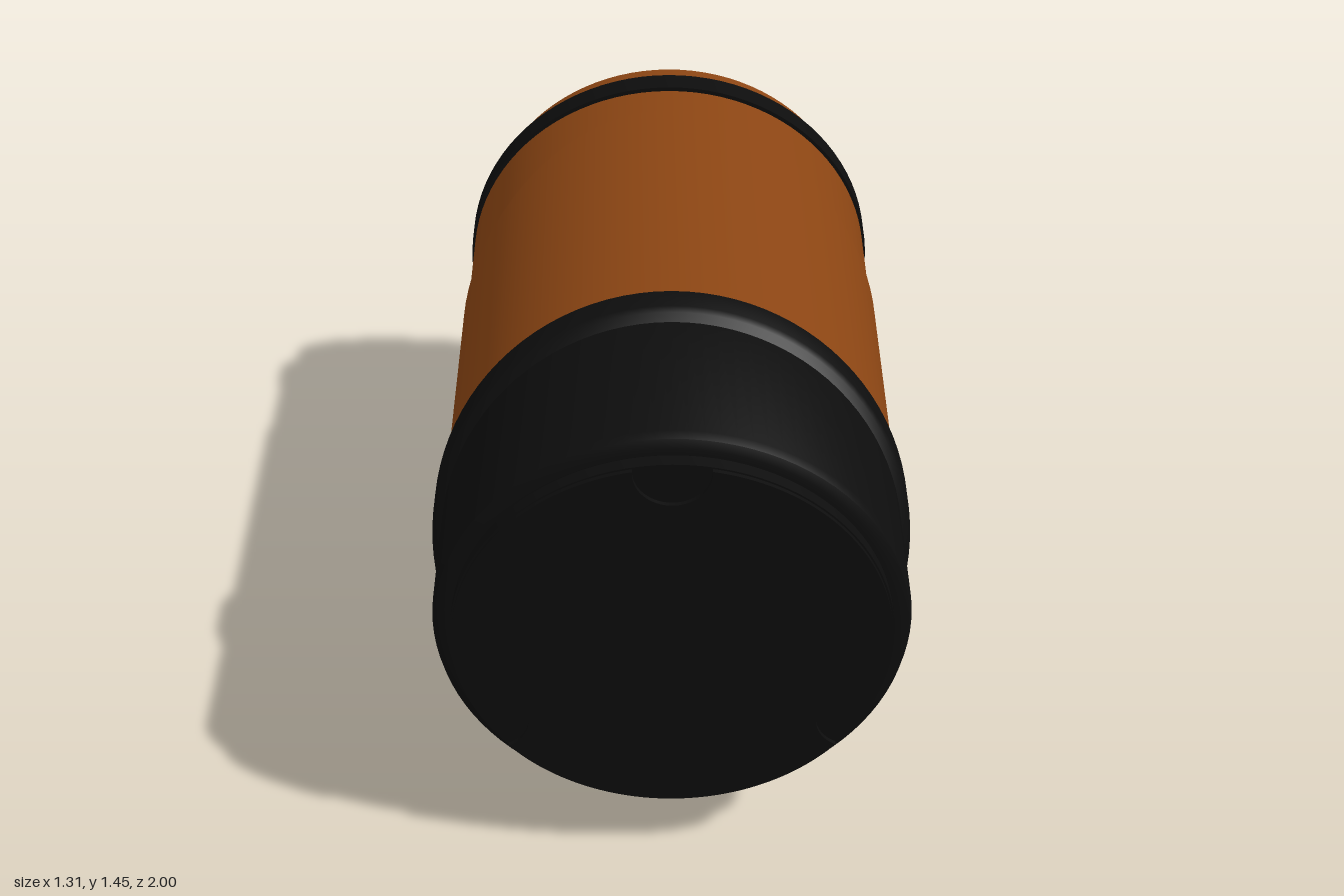
import * as THREE from 'three';
import { toCreasedNormals } from 'three/addons/utils/BufferGeometryUtils.js';

const AXIS_Y = 0.8; // height of the main pipe's axis
const brown = new THREE.MeshStandardMaterial({ color: 0x8b4513 });
const black = new THREE.MeshStandardMaterial({ color: 0x0d0d0d });
const grey = new THREE.MeshStandardMaterial({ color: 0xcccccc });

// Revolve [radius, height] pairs, optionally move the vertices by a rule, keep edges sharp
function turned(name, profile, material, { segments = 96, alongZ = false, warp } = {}) {
  let geo = new THREE.LatheGeometry(profile.map(([r, h]) => new THREE.Vector2(r, h)), segments);
  if (alongZ) geo.rotateX(Math.PI / 2);
  if (warp) {
    const p = geo.attributes.position;
    for (let i = 0; i < p.count; i++) p.setZ(i, warp(p.getX(i), p.getY(i), p.getZ(i)));
  }
  geo = toCreasedNormals(geo, 0.5);
  const mesh = new THREE.Mesh(geo, material);
  mesh.name = name;
  if (alongZ) mesh.position.y = AXIS_Y;
  return mesh;
}

// Cap screw with a hexagonal socket, head pointing to +y
function makeScrew(name, shankLength) {
  const g = new THREE.Group();
  g.name = name;
  g.add(turned('screwShank', [[0, -shankLength], [0.025, -shankLength], [0.025, 0]], grey, { segments: 24 }));
  const outline = new THREE.Shape().absarc(0, 0, 0.043, 0, Math.PI * 2);
  const hex = new THREE.Path();
  for (let i = 0; i < 6; i++) {
    const a = (i + 0.5) * Math.PI / 3;
    hex[i ? 'lineTo' : 'moveTo'](0.023 * Math.cos(a), 0.023 * Math.sin(a));
  }
  hex.closePath();
  outline.holes.push(hex);
  const headGeo = new THREE.ExtrudeGeometry(outline, {
    depth: 0.042, curveSegments: 24, bevelSize: 0.003, bevelThickness: 0.003, bevelSegments: 1,
  });
  headGeo.rotateX(-Math.PI / 2);
  const head = new THREE.Mesh(headGeo, grey);
  head.name = 'screwHead';
  const floor = new THREE.Mesh(new THREE.CylinderGeometry(0.03, 0.03, 0.015, 24), grey);
  floor.name = 'socketFloor';
  floor.position.y = 0.012;
  g.add(head, floor);
  return g;
}

// Round face plate with three circular finger notches
function makeFacePlate() {
  const R = 0.575, D = 0.56, r = 0.1;
  const half = Math.acos((R * R + D * D - r * r) / (2 * R * D));
  const shape = new THREE.Shape();
  for (let k = 0; k < 3; k++) {
    const t = Math.PI / 2 + k * Math.PI * 2 / 3;
    const cx = D * Math.cos(t), cy = D * Math.sin(t);
    const angle = (a) => Math.atan2(R * Math.sin(a) - cy, R * Math.cos(a) - cx);
    shape.absarc(cx, cy, r, angle(t - half), angle(t + half), true);
    shape.absarc(0, 0, R, t + half, t + Math.PI * 2 / 3 - half, false);
  }
  const mesh = new THREE.Mesh(new THREE.ExtrudeGeometry(shape, {
    depth: 0.015, bevelEnabled: false, curveSegments: 32,
  }), black);
  mesh.name = 'capFacePlate';
  mesh.position.set(0, AXIS_Y, 0.985);
  return mesh;
}

export function createModel() {
  const model = new THREE.Group();
  model.name = 'pipeTee';
  const slant = (y) => -0.27 * y; // slanted joint between the sleeve and the cap

  // Main sleeve: slanted front edge, saddle-shaped back edge
  model.add(turned('mainSleeve', [[0.6, -0.39], [0.63, -0.39], [0.63, 0.53]], brown, {
    alongZ: true,
    warp: (x, y, z) => (z > 0 ? z + slant(y) : z - 0.285 * (y / 0.63) ** 2),
  }));

  // Rear pipe, its seal ring and the closed spigot end
  model.add(turned('rearPipe', [[0.58, -0.81], [0.62, -0.81], [0.62, -0.2]], brown, { alongZ: true }));
  model.add(turned('sealRing', [[0.57, -0.895], [0.628, -0.895], [0.628, -0.818], [0.57, -0.818]], black, { alongZ: true }));
  model.add(turned('rearSpigot', [[0, -1], [0.59, -1], [0.59, -0.75]], brown, { alongZ: true }));

  // Front cap with a slanted lip and stepped nose
  model.add(turned('frontCap', [
    [0.61, 0.51], [0.655, 0.51], [0.655, 0.58], [0.648, 0.597], [0.63, 0.612],
    [0.63, 0.915], [0.622, 0.938], [0.6, 0.95], [0.58, 0.95], [0.58, 0.988], [0, 0.988],
  ], black, {
    alongZ: true,
    warp: (x, y, z) => (z < 0.7 ? z + slant(y) : z),
  }));
  model.add(makeFacePlate());

  // Branch pipe, open at the bottom with a recessed stopper
  const branch = turned('branchPipe', [[0, 0.09], [0.59, 0.09], [0.59, 0], [0.622, 0], [0.622, 0.8]], brown);
  branch.position.z = 0.008;
  model.add(branch);

  // Clamping screws on the branch and the spigot
  const frontScrew = makeScrew('frontScrew', 0.09);
  frontScrew.rotation.x = Math.PI / 2;
  frontScrew.position.set(0, 0.05, 0.635);
  const rearScrew = makeScrew('rearScrew', 0.06);
  rearScrew.rotation.x = Math.PI;
  rearScrew.position.set(0, 0.18, -0.95);
  model.add(frontScrew, rearScrew);

  return model;
}
